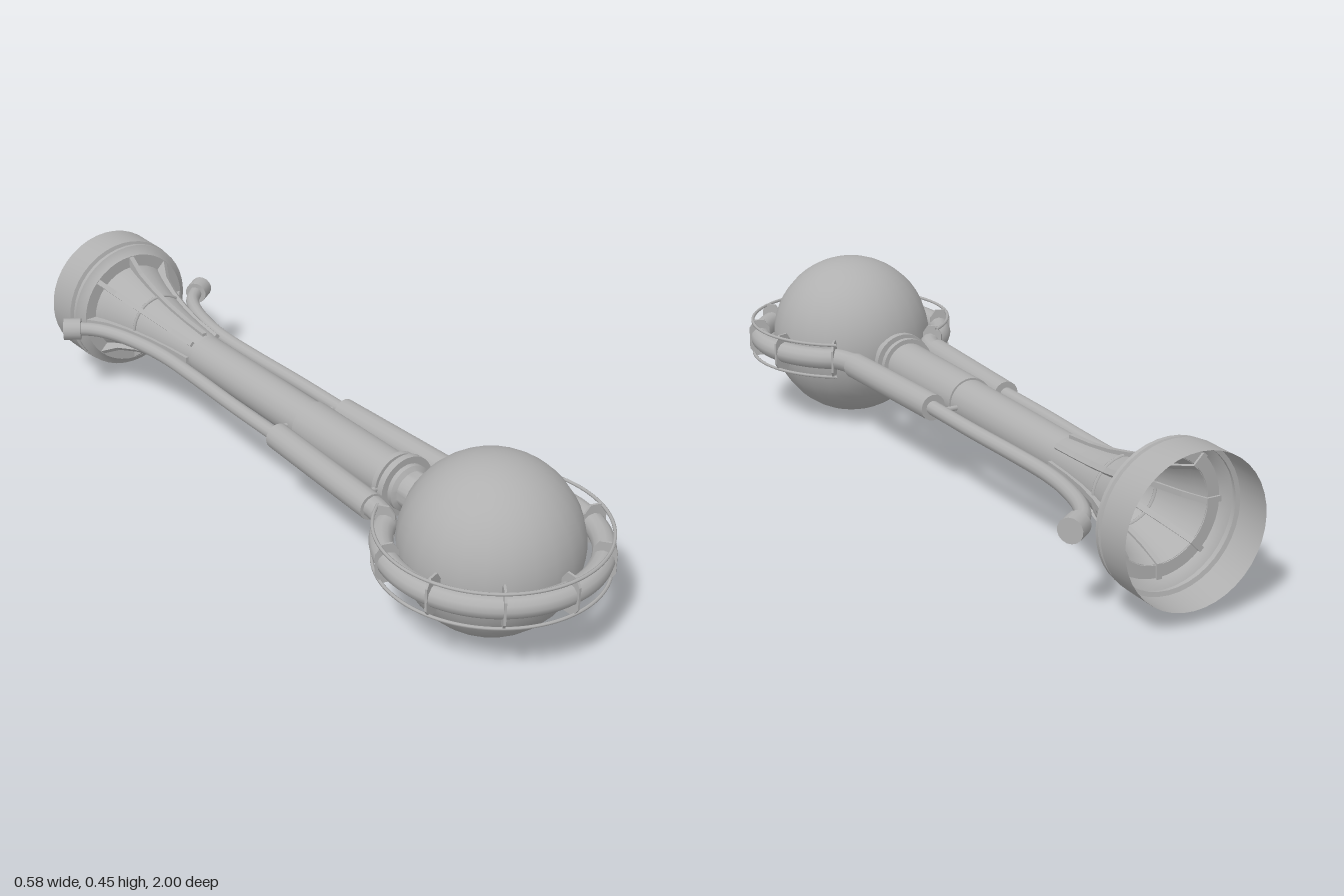
import * as THREE from 'three';
import { toCreasedNormals } from 'three/addons/utils/BufferGeometryUtils.js';

const AXIS_Y = 0.224; // height of the long axis
const BALL_Z = 0.705; // centre of the ball and its ring

export function createModel() {
  const grey = new THREE.MeshStandardMaterial({ color: 0xb0b0b0, side: THREE.DoubleSide });
  const root = new THREE.Group();
  root.name = 'model';
  const body = new THREE.Group();
  body.name = 'body';
  body.position.y = AXIS_Y;
  root.add(body);

  const add = (name, geometry, parent = body) => {
    const mesh = new THREE.Mesh(geometry, grey);
    mesh.name = name;
    parent.add(mesh);
    return mesh;
  };
  // Turned part along z, profile given as [radius, z] from back to front
  const turned = (name, profile, segments = 32) => {
    const points = profile.map(([r, z]) => new THREE.Vector2(r, z));
    const g = new THREE.LatheGeometry(points, segments).rotateX(Math.PI / 2);
    return add(name, toCreasedNormals(g, 0.6));
  };
  const vec = ([x, y, z]) => new THREE.Vector3(x, y, z);
  const tube = (name, points, radius, steps = 40, sides = 12) =>
    add(name, new THREE.TubeGeometry(new THREE.CatmullRomCurve3(points), steps, radius, sides));
  // Capped cylinder between two points
  const rod = (name, a, b, radius, sides = 16) => {
    const from = vec(a), dir = vec(b).sub(from);
    const mesh = add(name, new THREE.CylinderGeometry(radius, radius, dir.length(), sides));
    mesh.position.copy(from).addScaledVector(dir, 0.5);
    mesh.quaternion.setFromUnitVectors(new THREE.Vector3(0, 1, 0), dir.normalize());
    return mesh;
  };
  const onRing = (radius, degrees, y = 0) => {
    const a = THREE.MathUtils.degToRad(degrees);
    return new THREE.Vector3(Math.sin(a) * radius, y, BALL_Z + Math.cos(a) * radius);
  };
  const arc = (radius, limit, y) =>
    Array.from({ length: 41 }, (_, i) => onRing(radius, -limit + (i / 40) * 2 * limit, y));

  // Ball
  add('ball', new THREE.SphereGeometry(0.224, 24, 24)).position.z = BALL_Z - 0.005;

  // Ring round the ball, bent back into the two arms
  const ringPath = [
    vec([-0.127, 0, 0.38]), vec([-0.126, 0, 0.43]),
    ...arc(0.26, 146, 0),
    vec([0.126, 0, 0.43]), vec([0.127, 0, 0.38]),
  ];
  tube('ring', ringPath, 0.029, 120, 12);

  // Wire rails above and below the ring
  for (const y of [0.046, -0.046]) tube('wireRail', arc(0.281, 146, y), 0.0045, 80, 6);

  // Eight-sided plates holding the rails
  const plate = new THREE.Shape([
    [0.25, -0.052], [0.277, -0.052], [0.292, -0.03], [0.292, 0.03],
    [0.277, 0.052], [0.25, 0.052], [0.235, 0.03], [0.235, -0.03],
  ].map(([x, y]) => new THREE.Vector2(x, y)));
  const plateGeometry = new THREE.ExtrudeGeometry(plate, { depth: 0.006, bevelEnabled: false });
  plateGeometry.translate(0, 0, -0.003);
  for (let i = -4; i <= 4; i++) {
    const mesh = add('railBracket', plateGeometry);
    mesh.position.z = BALL_Z;
    mesh.rotation.y = THREE.MathUtils.degToRad(i * 36) - Math.PI / 2;
  }

  // Main shaft with a step, collars and a rounded nose
  turned('shaft', [
    [0.055, -0.5], [0.057, 0], [0.062, 0], [0.062, 0.345], [0.074, 0.345], [0.074, 0.36],
    [0.062, 0.36], [0.062, 0.374], [0.08, 0.374], [0.08, 0.392], [0.062, 0.392],
    [0.062, 0.405], [0.05, 0.412], [0.05, 0.445], [0.04, 0.46], [0, 0.46],
  ]);

  // Flared neck and open bell
  turned('flare', [
    [0.13, -0.862], [0.117, -0.83], [0.104, -0.79], [0.086, -0.72],
    [0.073, -0.65], [0.063, -0.57], [0.055, -0.48],
  ]);
  turned('bell', [
    [0.187, -1], [0.187, -0.905], [0.176, -0.902], [0.176, -0.895], [0.184, -0.89],
    [0.184, -0.88], [0.17, -0.872], [0.162, -0.86], [0.128, -0.86],
  ], 40);
  const band = add('flareBand', new THREE.TorusGeometry(0.087, 0.005, 6, 32));
  band.position.z = -0.72;

  // Curved ribs round the flare
  const outer = [[0.064, -0.49], [0.071, -0.58], [0.083, -0.66], [0.101, -0.74], [0.125, -0.81], [0.164, -0.866]];
  const inner = [[0.125, -0.866], [0.1, -0.8], [0.079, -0.72], [0.066, -0.65], [0.054, -0.56], [0.05, -0.49]];
  const ribShape = new THREE.Shape([...outer, ...inner].map(([r, z]) => new THREE.Vector2(r, z)));
  const ribGeometry = new THREE.ExtrudeGeometry(ribShape, { depth: 0.014, bevelEnabled: false });
  ribGeometry.translate(0, 0, -0.007).rotateX(Math.PI / 2);
  for (let i = 0; i < 8; i++) add('flareRib', ribGeometry).rotation.z = (i * Math.PI) / 4;

  // Side arms, mirrored
  for (const s of [1, -1]) {
    rod('armSleeve', [s * 0.108, 0, 0], [s * 0.128, 0, 0.415], 0.035);
    tube('arm', [
      [0.11, 0, 0.03], [0.107, 0, -0.2], [0.1, 0, -0.4], [0.099, 0, -0.54], [0.11, 0, -0.64],
      [0.135, 0, -0.74], [0.165, 0, -0.8], [0.205, 0, -0.84],
    ].map(([x, y, z]) => vec([s * x, y, z])), 0.019, 60);
    rod('armTip', [s * 0.196, 0, -0.83], [s * 0.235, 0, -0.858], 0.031);
    for (const z of [-0.03, 0.355]) rod('armTie', [0, 0, z], [s * 0.11, 0, z], 0.007, 8);
  }

  return root;
}
